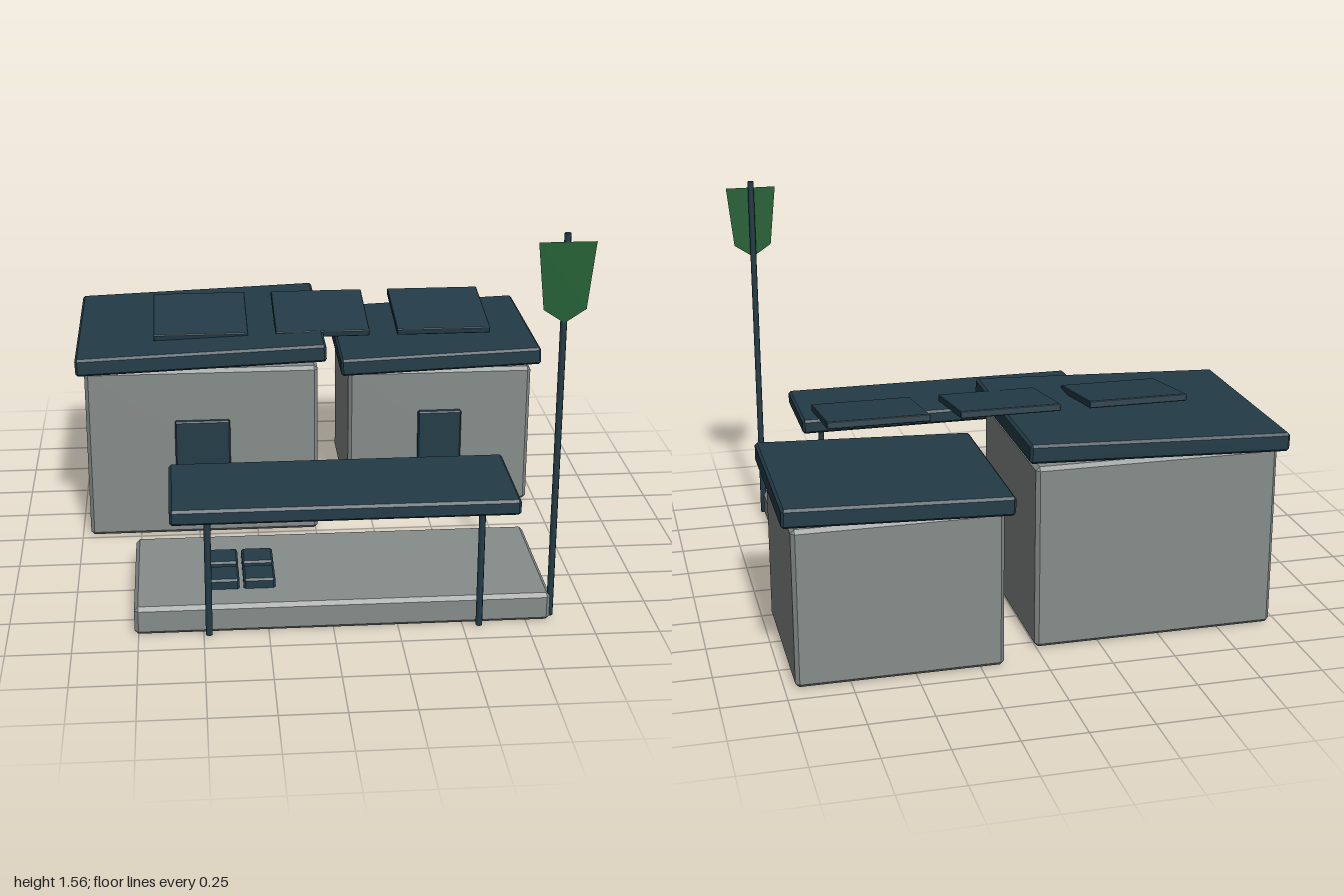
import * as THREE from 'three';
import { ConvexGeometry } from 'three/addons/geometries/ConvexGeometry.js';

const mat = (name, color, side = THREE.FrontSide) => {
  const m = new THREE.MeshStandardMaterial({ color, side });
  m.name = name;
  return m;
};

// Box with chamfered edges: three corner points per corner, wrapped in a hull
function chamferBox(w, h, d, c) {
  const pts = [];
  for (const x of [-1, 1]) for (const y of [-1, 1]) for (const z of [-1, 1]) {
    for (let axis = 0; axis < 3; axis++) {
      const inset = [c, c, c];
      inset[axis] = 0;
      pts.push(new THREE.Vector3(
        x * (w / 2 - inset[0]), y * (h / 2 - inset[1]), z * (d / 2 - inset[2])));
    }
  }
  return new ConvexGeometry(pts);
}

export function createModel() {
  const model = new THREE.Group();
  model.name = 'pavilionHouse';
  const wall = mat('concreteGrey', 0x868d8a);
  const slate = mat('slateBlue', 0x233c48);
  const green = mat('bannerGreen', 0x236034, THREE.DoubleSide);

  const add = (name, geometry, material, x, y, z) => {
    const mesh = new THREE.Mesh(geometry, material);
    mesh.name = name;
    mesh.position.set(x, y, z);
    model.add(mesh);
    return mesh;
  };
  // Chamfered block given by its extents on each axis
  const block = (name, material, [x0, x1], [y0, y1], [z0, z1], c) =>
    add(name, chamferBox(x1 - x0, y1 - y0, z1 - z0, c), material,
      (x0 + x1) / 2, (y0 + y1) / 2, (z0 + z1) / 2);

  // Two houses with slightly tilted roofs and a door each
  block('largeHouse', wall, [-0.965, 0.008], [0.005, 0.75], [-0.815, -0.01], 0.015);
  block('smallHouse', wall, [0.16, 0.96], [0.005, 0.635], [-0.93, -0.245], 0.015);
  block('largeRoof', slate, [-1, 0.043], [0.76, 0.835], [-0.85, 0.02], 0.01).rotation.z = 0.037;
  block('smallRoof', slate, [0.125, 0.997], [0.642, 0.717], [-0.965, -0.21], 0.01).rotation.z = 0.037;
  block('largeDoor', slate, [-0.595, -0.363], [0.05, 0.525], [-0.015, 0.012], 0.006);
  block('smallDoor', slate, [0.465, 0.655], [0.045, 0.447], [-0.25, -0.22], 0.006);

  // Row of tilted solar panels
  for (const x of [-0.476, 0.041, 0.559]) {
    add('solarPanel', chamferBox(0.4, 0.028, 0.4, 0.003), slate, x, 0.868, -0.361).rotation.x = 0.14;
  }

  // Terrace with four seat cushions
  block('terrace', wall, [-0.765, 0.845], [0, 0.115], [0.255, 0.88], 0.015);
  for (const x of [-0.418, -0.278]) for (const z of [0.528, 0.682]) {
    block('cushion', slate, [x - 0.062, x + 0.062], [0.004, 0.155], [z - 0.062, z + 0.062], 0.008);
  }

  // Canopy on two front posts
  block('canopy', slate, [-0.62, 0.7], [0.493, 0.555], [0.513, 0.965], 0.01);
  for (const x of [-0.48, 0.56]) {
    add('canopyPost', new THREE.CylinderGeometry(0.013, 0.013, 0.485, 8), slate, x, 0.255, 0.914);
  }

  // Flagpole with a pointed banner
  add('flagpole', new THREE.CylinderGeometry(0.013, 0.013, 1.545, 8), slate, 0.847, 0.787, 0.855);
  const outline = [[-0.107, 1.53], [-0.08, 1.273], [0, 1.22], [0.08, 1.273], [0.107, 1.53]];
  const shape = new THREE.Shape(outline.map(([x, y]) => new THREE.Vector2(x, y)));
  add('banner', new THREE.ShapeGeometry(shape), green, 0.847, 0, 0.869);

  return model;
}
